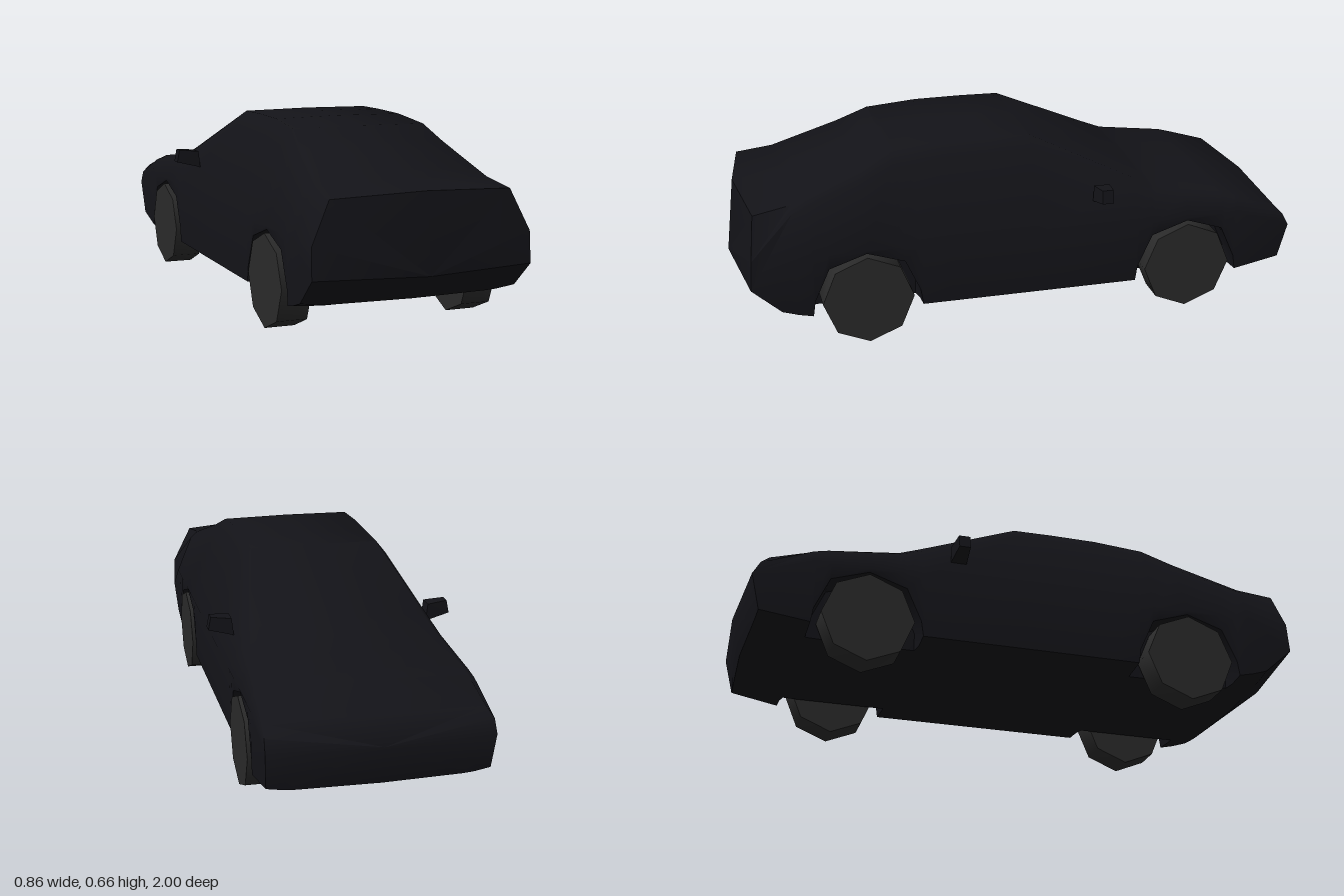
import * as THREE from 'three';
import { toCreasedNormals } from 'three/addons/utils/BufferGeometryUtils.js';

const WHEEL_Z = [-0.59, 0.56];
const bodyMat = new THREE.MeshStandardMaterial({ color: 0x131318 });
const tyreMat = new THREE.MeshStandardMaterial({ color: 0x2a2a2a });

// Side-profile curves as [z, y]; arch is [distance from axle, y]
const TOP = [[-0.94, 0.355], [-0.73, 0.422], [-0.48, 0.46], [-0.04, 0.655], [0.1, 0.658], [0.27, 0.657], [0.45, 0.64], [0.8, 0.51], [0.97, 0.493]];
const BOTTOM = [[-0.95, 0.135], [-0.75, 0.106], [-0.59, 0.082], [-0.4, 0.107], [0.3, 0.108], [0.56, 0.082], [0.75, 0.108], [0.87, 0.135]];
const ARCH = [[0, 0.328], [0.13, 0.285], [0.182, 0.17]];

function lerp(table, t) {
  for (let i = 1; i < table.length; i++) {
    const [a, ya] = table[i - 1], [b, yb] = table[i];
    if (t <= b) return ya + (yb - ya) * Math.max(0, (t - a) / (b - a));
  }
  return table[table.length - 1][1];
}

// Half cross-section from underside centre, round the +x side, to roof centre
function halfRing(z) {
  const top = lerp(TOP, z);
  const floor = lerp(BOTTOM, z), inner = Math.max(0.108, floor);
  const d = Math.min(...WHEEL_Z.map((c) => Math.abs(z - c)));
  const arch = d < 0.185 ? lerp(ARCH, d) : 0;
  const roof = top > 0.62;
  const edge = roof ? top - 0.003 : top - 0.012;
  const shoulder = Math.min(0.61, 0.34 + (edge - 0.34) * 0.86);
  const sideX = (y) => 0.38 - 0.426 * (y - 0.34);
  return [
    [0, floor, z],
    [0.27, inner, z],
    [arch ? 0.272 : 0.31, arch || inner + 0.002, z],
    [0.376, arch || inner + 0.008, z],
    [0.38, 0.34, z],
    [sideX(shoulder), shoulder, z],
    [sideX(edge) - 0.016, edge, z],
    [0, top, z],
  ];
}

// Slanted end sections, with the bumper point that closes each one
const NOSE = [[0, 0.135, -0.965], [0.27, 0.135, -0.955], [0.31, 0.137, -0.953], [0.365, 0.145, -0.95],
  [0.372, 0.27, -0.98], [0.37, 0.315, -0.955], [0.35, 0.347, -0.925], [0, 0.355, -0.94]];
const TAIL = [[0, 0.135, 0.875], [0.27, 0.135, 0.86], [0.31, 0.137, 0.858], [0.376, 0.145, 0.855],
  [0.377, 0.235, 0.955], [0.375, 0.34, 0.948], [0.31, 0.478, 0.93], [0, 0.493, 0.97]];
const NOSE_TIP = [0, 0.27, -1], TAIL_TIP = [0, 0.23, 1];

function bodyGeometry() {
  const zs = TOP.slice(1, -1).map((p) => p[0]);
  for (const c of WHEEL_Z) {
    for (const d of [0, 0.13, 0.182, 0.19]) zs.push(c + d, ...(d ? [c - d] : []));
  }
  zs.sort((a, b) => a - b);
  const halves = [NOSE, ...zs.map(halfRing), TAIL];
  const pos = [], idx = [];
  for (const half of halves) {
    const mirrored = half.slice(1, -1).reverse().map(([x, y, z]) => [-x, y, z]);
    for (const p of [...half, ...mirrored]) pos.push(...p);
  }
  const n = 14, last = (halves.length - 1) * n;
  for (let i = 0; i < halves.length - 1; i++) {
    for (let j = 0; j < n; j++) {
      const k = (j + 1) % n;
      const a = i * n + j, b = i * n + k, c = b + n, d = a + n;
      idx.push(a, b, d, b, c, d);
    }
  }
  // Pointed bumper caps
  const nose = halves.length * n, tail = nose + 1;
  pos.push(...NOSE_TIP, ...TAIL_TIP);
  for (let j = 0; j < n; j++) {
    const k = (j + 1) % n;
    idx.push(nose, k, j, tail, last + j, last + k);
  }
  const g = new THREE.BufferGeometry();
  g.setAttribute('position', new THREE.Float32BufferAttribute(pos, 3));
  g.setIndex(idx);
  return toCreasedNormals(g, 0.9);
}

function add(parent, name, geometry, material) {
  const mesh = new THREE.Mesh(geometry, material);
  mesh.name = name;
  parent.add(mesh);
  return mesh;
}

// Door mirror housing: tapered outline with a narrower outer end
function mirrorGeometry(side) {
  const outline = [[0.343, 0.425], [0.43, 0.446], [0.421, 0.492], [0.35, 0.485]];
  if (side < 0) outline.reverse();
  const shape = new THREE.Shape(outline.map(([x, y]) => new THREE.Vector2(side * x, y)));
  const g = new THREE.ExtrudeGeometry(shape, { depth: 0.056, bevelEnabled: false });
  g.translate(0, 0, -0.302);
  const p = g.attributes.position;
  for (let i = 0; i < p.count; i++) {
    if (Math.abs(p.getX(i)) > 0.4) p.setZ(i, -0.274 + (p.getZ(i) + 0.274) * 0.7);
  }
  g.computeVertexNormals();
  return g;
}

export function createModel() {
  const car = new THREE.Group();
  car.name = 'car';
  add(car, 'body', bodyGeometry(), bodyMat);

  // Eight-sided wheels standing on a corner
  const wheelGeo = toCreasedNormals(new THREE.CylinderGeometry(0.158, 0.158, 0.105, 8).rotateZ(Math.PI / 2), 0.9);
  for (const side of [1, -1]) {
    const label = side > 0 ? 'Left' : 'Right';
    WHEEL_Z.forEach((z, i) => {
      const wheel = add(car, (i ? 'rear' : 'front') + label + 'Wheel', wheelGeo, tyreMat);
      wheel.position.set(side * 0.332, 0.158, z);
    });
    add(car, 'door' + label + 'Mirror', mirrorGeometry(side), bodyMat);
  }
  return car;
}
